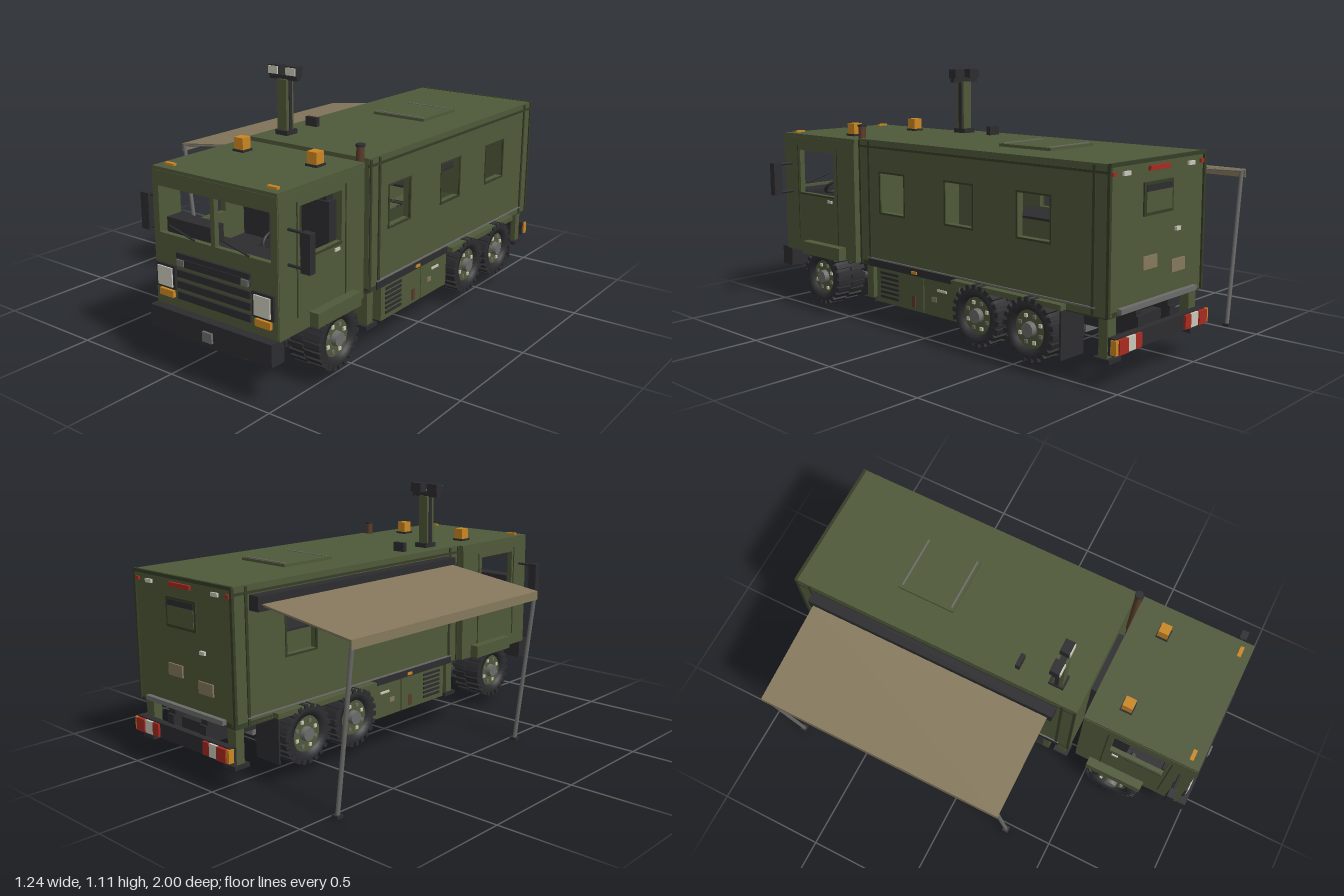
import * as THREE from 'three';

const mat = (name, color, side = THREE.FrontSide) => {
  const m = new THREE.MeshStandardMaterial({ color, side });
  m.name = name;
  return m;
};

export function createModel() {
  const green = mat('olive green', 0x4f5939), darkGreen = mat('dark green', 0x363d28);
  const black = mat('charcoal', 0x2d2d30), grey = mat('steel grey', 0x6c6c6a);
  const tan = mat('canvas tan', 0x85785c, THREE.DoubleSide), cream = mat('lamp cream', 0xcac8b8);
  const amber = mat('amber', 0xcb8722), red = mat('red', 0xa82a20), brown = mat('rust brown', 0x5a3c2a);

  const model = new THREE.Group();
  model.name = 'expeditionTruck';
  const group = (name, parent = model) => {
    const g = new THREE.Group();
    g.name = name;
    parent.add(g);
    return g;
  };
  const add = (p, name, geo, m) => {
    const mesh = new THREE.Mesh(geo, m);
    mesh.name = name;
    p.add(mesh);
    return mesh;
  };
  // Box given by its limits
  const box = (p, name, m, x0, x1, y0, y1, z0, z1) => {
    const mesh = add(p, name, new THREE.BoxGeometry(x1 - x0, y1 - y0, z1 - z0), m);
    mesh.position.set((x0 + x1) / 2, (y0 + y1) / 2, (z0 + z1) / 2);
  };
  // The same box on both sides of the truck's centre plane, x = 0.2
  const pair = (p, name, m, x0, x1, ...r) => {
    box(p, name + 'Left', m, x0, x1, ...r);
    box(p, name + 'Right', m, 0.4 - x1, 0.4 - x0, ...r);
  };
  // Round bar between two points
  const bar = (p, name, m, a, b, r, sides = 10) => {
    const A = new THREE.Vector3(...a), B = new THREE.Vector3(...b);
    const mesh = add(p, name, new THREE.CylinderGeometry(r, r, A.distanceTo(B), sides), m);
    mesh.position.copy(A).lerp(B, 0.5);
    mesh.quaternion.setFromUnitVectors(new THREE.Vector3(0, 1, 0), B.sub(A).normalize());
  };
  // Flat panel with rectangular holes, limits as [u0, u1, y0, y1]
  const panel = ([u0, u1, y0, y1], holes, depth) => {
    const rect = (path, a, b, c, d) => path.moveTo(a, c).lineTo(b, c).lineTo(b, d).lineTo(a, d).closePath();
    const s = rect(new THREE.Shape(), u0, u1, y0, y1);
    holes.forEach(h => s.holes.push(rect(new THREE.Path(), ...h)));
    return new THREE.ExtrudeGeometry(s, { depth, bevelEnabled: false });
  };
  const sidePanel = (p, name, m, limits, holes, depth, outerX) =>
    add(p, name, panel(limits, holes, depth).rotateY(-Math.PI / 2).translate(outerX, 0, 0), m);

  // Living box with see-through windows
  const body = group('livingBox');
  const windows = [[0.11, 0.26, 0.51, 0.68], [-0.29, -0.14, 0.51, 0.68], [-0.69, -0.53, 0.51, 0.68]];
  sidePanel(body, 'leftWall', green, [-0.955, 0.4, 0.27, 0.81], windows, 0.03, 0.508);
  sidePanel(body, 'rightWall', green, [-0.955, 0.4, 0.27, 0.81], windows, 0.03, -0.078);
  box(body, 'roof', green, -0.108, 0.508, 0.8, 0.82, -0.955, 0.4);
  box(body, 'floor', darkGreen, -0.108, 0.508, 0.265, 0.285, -0.955, 0.4);
  box(body, 'frontWall', green, -0.08, 0.48, 0.28, 0.8, 0.375, 0.4);
  box(body, 'rearWall', green, -0.08, 0.48, 0.28, 0.8, -0.955, -0.93);
  for (const [a, b, c, d] of windows) {
    for (const x of [0.511, -0.103])
      sidePanel(body, 'windowFrame', darkGreen, [a - 0.008, b + 0.008, c - 0.008, d + 0.008], [[a, b, c, d]], 0.008, x);
  }
  for (const z of [0.392, 0.332, -0.892, -0.957]) pair(body, 'cornerTrim', darkGreen, 0.5, 0.513, 0.27, 0.815, z - 0.006, z + 0.006);
  pair(body, 'topTrim', darkGreen, 0.5, 0.513, 0.785, 0.795, -0.955, 0.4);
  pair(body, 'lowerTrim', grey, 0.5, 0.514, 0.297, 0.303, -0.9, 0.345);
  pair(body, 'sideSkirt', black, 0.49, 0.514, 0.265, 0.297, -0.2, 0.345);
  box(body, 'interiorTable', black, 0.1, 0.3, 0.535, 0.545, -0.69, -0.16);
  for (const z of [-0.165, -0.58]) box(body, 'tablePost', grey, 0.19, 0.21, 0.285, 0.68, z - 0.006, z + 0.006);

  // Roof hatch and vent
  box(body, 'roofHatch', green, 0.06, 0.33, 0.82, 0.832, -0.54, -0.27);
  for (const z of [-0.525, -0.285]) box(body, 'hatchHinge', grey, 0.075, 0.32, 0.83, 0.835, z - 0.004, z + 0.004);
  box(body, 'roofVent', black, -0.045, 0.015, 0.82, 0.86, 0.08, 0.1);

  // Rear wall details
  const rear = group('rearDetails');
  box(rear, 'rearWindowFrame', darkGreen, 0.11, 0.3, 0.61, 0.735, -0.961, -0.95);
  box(rear, 'rearWindow', green, 0.122, 0.288, 0.622, 0.7, -0.964, -0.955);
  box(rear, 'rearWindowShade', black, 0.122, 0.288, 0.7, 0.724, -0.964, -0.955);
  box(rear, 'brakeStrip', red, 0.14, 0.27, 0.776, 0.794, -0.966, -0.955);
  pair(rear, 'topMarker', red, 0.475, 0.495, 0.775, 0.79, -0.964, -0.955);
  pair(rear, 'whiteMarker', cream, 0.39, 0.43, 0.772, 0.788, -0.964, -0.955);
  box(rear, 'upperPlate', tan, 0.21, 0.3, 0.41, 0.46, -0.962, -0.955);
  box(rear, 'lowerPlate', tan, 0.02, 0.11, 0.37, 0.42, -0.962, -0.955);
  box(rear, 'doorHandle', cream, 0.06, 0.09, 0.53, 0.545, -0.966, -0.955);
  box(rear, 'rearSill', grey, -0.05, 0.45, 0.275, 0.295, -0.975, -0.955);
  box(rear, 'rearTopTrim', darkGreen, -0.11, 0.51, 0.808, 0.822, -0.965, -0.952);
  box(rear, 'rearBumper', black, -0.1, 0.5, 0.135, 0.2, -0.985, -0.955);
  pair(rear, 'redLamp', red, 0.435, 0.49, 0.14, 0.195, -1, -0.984);
  pair(rear, 'whiteLamp', cream, 0.385, 0.435, 0.14, 0.195, -0.995, -0.984);
  pair(rear, 'brakeLamp', red, 0.345, 0.385, 0.14, 0.195, -0.995, -0.984);
  pair(rear, 'amberLamp', amber, 0.49, 0.506, 0.14, 0.195, -0.995, -0.97);

  // Cab shell with open windows
  const cab = group('cab');
  const door = [[0.58, 0.83, 0.54, 0.74]];
  sidePanel(cab, 'leftSide', green, [0.435, 0.945, 0.26, 0.8], door, 0.025, 0.51);
  sidePanel(cab, 'rightSide', green, [0.435, 0.945, 0.26, 0.8], door, 0.025, -0.085);
  const screens = [[-0.078, 0.19, 0.555, 0.74], [0.21, 0.478, 0.555, 0.74]];
  add(cab, 'frontPanel', panel([-0.108, 0.508, 0.26, 0.8], screens, 0.022).translate(0, 0, 0.928), green);
  box(cab, 'backWall', green, -0.085, 0.485, 0.26, 0.8, 0.435, 0.455);
  box(cab, 'cabRoof', green, -0.108, 0.508, 0.79, 0.813, 0.432, 0.948);
  box(cab, 'cabFloor', black, -0.085, 0.485, 0.26, 0.28, 0.45, 0.93);
  box(cab, 'cabLink', black, 0.05, 0.34, 0.3, 0.72, 0.395, 0.437);
  for (const z of [0.555, 0.845]) pair(cab, 'doorSeam', darkGreen, 0.505, 0.512, 0.32, 0.76, z - 0.003, z + 0.003);
  pair(cab, 'doorSill', darkGreen, 0.505, 0.513, 0.532, 0.54, 0.58, 0.83);
  pair(cab, 'doorHandle', cream, 0.505, 0.516, 0.51, 0.522, 0.595, 0.625);
  pair(cab, 'frontFender', green, 0.46, 0.55, 0.262, 0.32, 0.505, 0.775);

  // Seats, dashboard and steering wheel
  const inside = group('cabInterior', cab);
  pair(inside, 'seatBase', black, 0.28, 0.42, 0.28, 0.45, 0.5, 0.65);
  pair(inside, 'seatBack', black, 0.285, 0.42, 0.45, 0.665, 0.49, 0.54);
  pair(inside, 'headrest', black, 0.31, 0.4, 0.665, 0.722, 0.49, 0.53);
  box(inside, 'dashboard', black, -0.08, 0.48, 0.45, 0.545, 0.82, 0.925);
  box(inside, 'instrumentHood', black, -0.068, 0.16, 0.54, 0.61, 0.85, 0.92);
  const wheelRim = add(inside, 'steeringWheel', new THREE.TorusGeometry(0.055, 0.007, 8, 24), black);
  wheelRim.position.set(0.35, 0.56, 0.77);
  wheelRim.rotation.x = -0.9;

  // Cab front: grille, lamps, wipers and bumper
  const face = group('cabFront');
  box(face, 'grilleTop', black, 0.015, 0.383, 0.475, 0.495, 0.945, 0.962);
  box(face, 'grilleBar', black, 0.02, 0.38, 0.442, 0.472, 0.945, 0.96);
  pair(face, 'grilleLamp', grey, 0.345, 0.38, 0.445, 0.47, 0.95, 0.966);
  for (const y of [0.412, 0.367, 0.322]) box(face, 'grilleSlat', black, 0.015, 0.383, y - 0.015, y + 0.014, 0.945, 0.96);
  pair(face, 'headlightSurround', black, 0.395, 0.495, 0.338, 0.436, 0.945, 0.962);
  pair(face, 'headlight', cream, 0.407, 0.483, 0.348, 0.426, 0.955, 0.968);
  pair(face, 'indicator', amber, 0.408, 0.48, 0.304, 0.332, 0.945, 0.964);
  pair(face, 'roofMarker', amber, 0.43, 0.478, 0.806, 0.822, 0.895, 0.912);
  for (const x of [-0.02, 0.25]) bar(face, 'wiper', black, [x, 0.593, 0.955], [x + 0.13, 0.56, 0.955], 0.004, 6);
  box(face, 'frontBumper', black, -0.108, 0.508, 0.175, 0.265, 0.92, 0.99);
  box(face, 'bumperUnderside', black, 0.03, 0.37, 0.16, 0.18, 0.9, 0.98);
  box(face, 'towHitch', grey, 0.175, 0.223, 0.19, 0.23, 0.985, 1);

  // Mirrors
  for (const s of [1, -1]) {
    const X = d => 0.2 + s * d, m = group('mirror', cab);
    box(m, 'mirrorHead', black, X(0.4) - 0.021, X(0.4) + 0.021, 0.53, 0.68, 0.88, 0.912);
    for (const y of [0.54, 0.672]) bar(m, 'mirrorArm', black, [X(0.3), y, 0.893], [X(0.4), y, 0.893], 0.006, 8);
  }

  // Beacons, exhaust and light mast
  for (const x of [0.016, 0.384]) {
    box(cab, 'beaconBase', black, x - 0.028, x + 0.028, 0.81, 0.822, 0.55, 0.606);
    box(cab, 'beacon', amber, x - 0.023, x + 0.023, 0.82, 0.87, 0.555, 0.601);
  }
  bar(cab, 'exhaustPipe', brown, [0.475, 0.51, 0.415], [0.475, 0.87, 0.415], 0.016, 14);
  bar(cab, 'exhaustCap', black, [0.475, 0.868, 0.415], [0.475, 0.878, 0.415], 0.019, 14);
  const mast = group('lightMast');
  box(mast, 'mastFoot', black, -0.045, 0.02, 0.82, 0.84, 0.235, 0.305);
  box(mast, 'mastColumn', green, -0.038, 0.01, 0.83, 1.055, 0.25, 0.297);
  for (const x of [-0.038, 0.008]) box(mast, 'mastCable', black, x - 0.005, x + 0.005, 0.83, 1.055, 0.262, 0.28);
  box(mast, 'mastBar', black, -0.088, 0.06, 1.052, 1.072, 0.26, 0.285);
  for (const x of [-0.062, 0.032]) {
    box(mast, 'floodlightHousing', black, x - 0.029, x + 0.029, 1.07, 1.112, 0.25, 0.292);
    box(mast, 'floodlight', cream, x - 0.025, x + 0.025, 1.075, 1.107, 0.29, 0.297);
  }

  // Awning with valance and poles
  const awning = group('awning');
  box(awning, 'awningCassette', black, -0.16, -0.105, 0.72, 0.78, -0.875, 0.31);
  const cloth = add(awning, 'awningCloth', new THREE.BoxGeometry(0.47, 0.006, 1.145), tan);
  cloth.position.set(-0.388, 0.716, -0.2825);
  cloth.rotation.z = 0.128;
  box(awning, 'awningValance', tan, -0.622, -0.617, 0.652, 0.688, -0.855, 0.29);
  for (const z of [-0.84, 0.285]) {
    bar(awning, 'awningPole', grey, [-0.612, 0.685, z], [-0.53, 0.01, z], 0.009);
    bar(awning, 'awningArm', grey, [-0.15, 0.738, z], [-0.612, 0.68, z], 0.004);
    box(awning, 'poleFoot', black, -0.545, -0.513, 0, 0.012, z - 0.015, z + 0.015);
  }

  // Chassis, axles and wheels
  const chassis = group('chassis');
  pair(chassis, 'frameRail', black, 0.285, 0.325, 0.165, 0.24, -0.96, 0.93);
  pair(chassis, 'bodyMount', black, 0.285, 0.325, 0.235, 0.27, -0.95, 0.9);
  for (const z of [-0.9, -0.48, -0.1, 0.3, 0.5, 0.85]) box(chassis, 'crossMember', black, 0.1, 0.3, 0.18, 0.225, z - 0.02, z + 0.02);
  bar(chassis, 'driveShaft', grey, [0.2, 0.16, -0.62], [0.2, 0.16, 0.64], 0.016);
  const wheel = (z, s) => {
    const w = group('wheel', chassis);
    const tyre = [[0.075, -0.074], [0.108, -0.076], [0.118, -0.062], [0.118, 0.062], [0.108, 0.076], [0.078, 0.07], [0.072, 0.04]];
    const turn = g => g.rotateZ(-Math.PI / 2);
    add(w, 'tyre', turn(new THREE.LatheGeometry(tyre.map(p => new THREE.Vector2(...p)), 32)), black);
    add(w, 'rim', turn(new THREE.CylinderGeometry(0.077, 0.077, 0.115, 28)), green);
    add(w, 'hub', turn(new THREE.CylinderGeometry(0.028, 0.034, 0.05, 16).translate(0, 0.055, 0)), grey);
    for (let i = 0; i < 8; i++) {
      const a = (i + 0.5) * Math.PI / 4;
      const bolt = add(w, 'wheelBolt', new THREE.BoxGeometry(0.008, 0.014, 0.014), i % 2 ? cream : grey);
      bolt.position.set(0.06, 0.055 * Math.sin(a), 0.055 * Math.cos(a));
    }
    for (let i = 0; i < 22; i++) for (const side of [-1, 1]) {
      const lug = add(w, 'treadLug', new THREE.BoxGeometry(0.074, 0.02, 0.019).translate(side * 0.039, 0.116, 0), black);
      lug.rotation.x = (i + side * 0.25) * Math.PI / 11;
    }
    w.position.set(0.2 + s * 0.27, 0.17, z);
    w.rotation.y = s > 0 ? 0 : Math.PI;
  };
  for (const z of [0.64, -0.34, -0.615]) {
    bar(chassis, 'axle', grey, [-0.06, 0.15, z], [0.46, 0.15, z], 0.022);
    box(chassis, 'differential', grey, 0.152, 0.248, 0.105, 0.185, z - 0.045, z + 0.045);
    pair(chassis, 'leafSpring', black, 0.34, 0.37, 0.125, 0.15, z - 0.11, z + 0.11);
    wheel(z, 1);
    wheel(z, -1);
  }
  pair(chassis, 'rearFender', green, 0.4, 0.54, 0.27, 0.292, -0.77, -0.2);
  pair(chassis, 'mudFlap', black, 0.4, 0.535, 0.08, 0.272, -0.768, -0.76);

  // Lockers under the floor
  const lockers = group('lockers');
  pair(lockers, 'frontLocker', green, 0.36, 0.503, 0.11, 0.268, 0.002, 0.3);
  pair(lockers, 'rearLocker', green, 0.36, 0.503, 0.11, 0.268, -0.21, -0.003);
  for (let i = 0; i < 6; i++) pair(lockers, 'ventSlat', black, 0.5, 0.508, 0.133 + i * 0.021, 0.144 + i * 0.021, 0.155, 0.27);
  pair(lockers, 'lockerLatch', brown, 0.5, 0.508, 0.125, 0.175, 0.05, 0.07);
  pair(lockers, 'lockerPlate', tan, 0.5, 0.507, 0.17, 0.19, -0.08, -0.05);
  pair(lockers, 'lockerHandle', cream, 0.5, 0.508, 0.218, 0.228, -0.14, -0.085);
  pair(lockers, 'sideMarker', amber, 0.512, 0.519, 0.272, 0.284, 0.03, 0.06);

  // Stabiliser legs
  for (const z of [0.36, -0.925]) {
    pair(chassis, 'stabiliserLeg', green, 0.44, 0.49, 0.115, 0.27, z - 0.02, z + 0.02);
    pair(chassis, 'stabiliserFoot', black, 0.43, 0.5, 0.1, 0.117, z - 0.037, z + 0.037);
  }
  return model;
}
